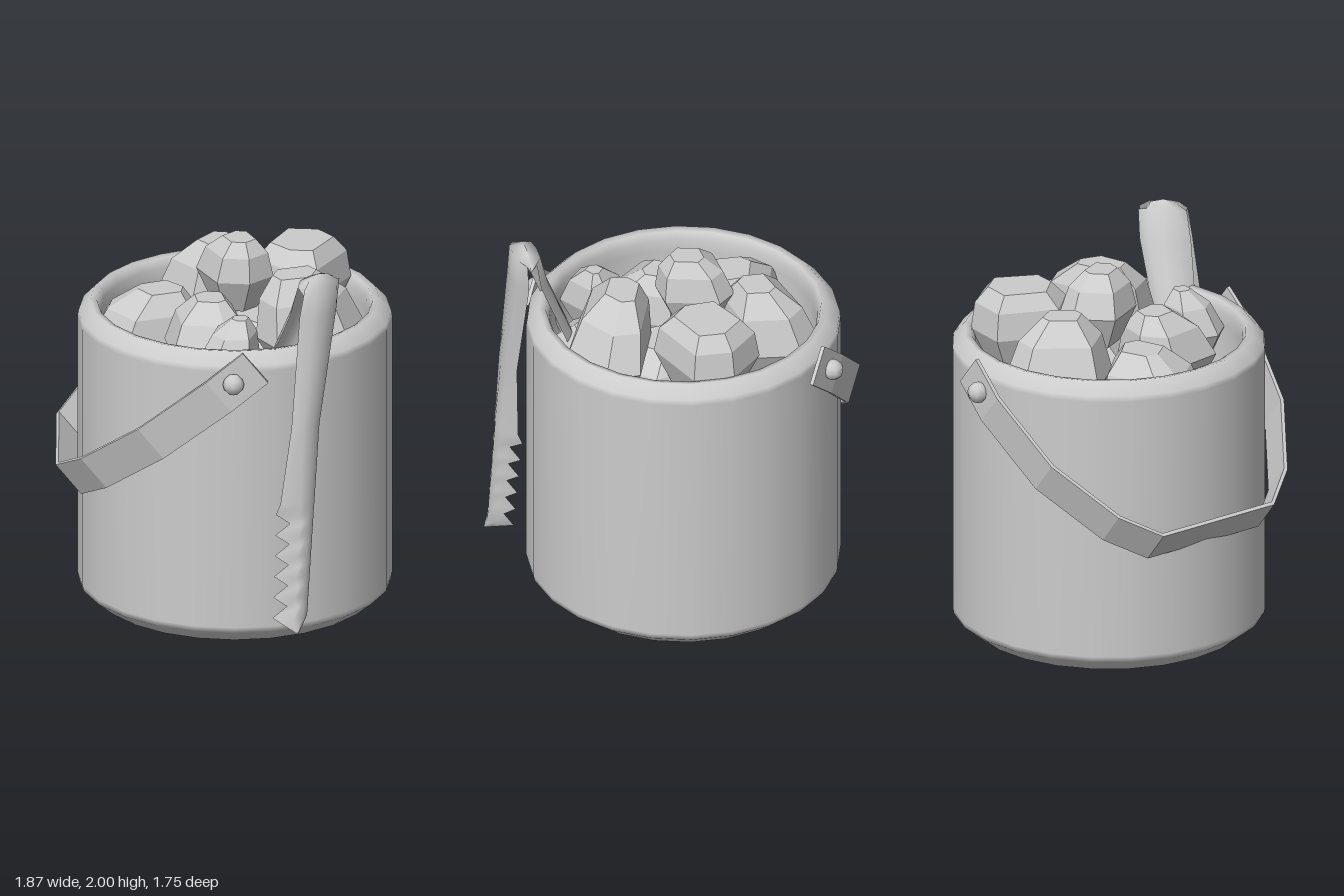
import * as THREE from 'three';

const smooth = new THREE.MeshStandardMaterial({ color: 0xcccccc });
const flat = new THREE.MeshStandardMaterial({ color: 0xcccccc, flatShading: true });
const thin = new THREE.MeshStandardMaterial({ color: 0xcccccc, side: THREE.DoubleSide });
const strip = new THREE.MeshStandardMaterial({ color: 0xcccccc, flatShading: true, side: THREE.DoubleSide });

function add(parent, name, geometry, material) {
  const mesh = new THREE.Mesh(geometry, material);
  mesh.name = name;
  parent.add(mesh);
  return mesh;
}

function lathe(points, sides = 24) {
  return new THREE.LatheGeometry(points.map(([r, y]) => new THREE.Vector2(r, y)), sides);
}

// Skins a row of equal-sized cross-sections; closed sections also get end caps
function loft(sections, closed) {
  const n = sections[0].length;
  const index = [];
  for (let i = 0; i < sections.length - 1; i++) {
    for (let j = 0; j < (closed ? n : n - 1); j++) {
      const a = i * n + j, b = i * n + (j + 1) % n;
      index.push(a, b, a + n, b, b + n, a + n);
    }
  }
  if (closed) {
    const e = (sections.length - 1) * n;
    for (let j = 1; j < n - 1; j++) index.push(0, j + 1, j, e, e + j, e + j + 1);
  }
  const geometry = new THREE.BufferGeometry();
  geometry.setAttribute('position', new THREE.Float32BufferAttribute(sections.flat(2), 3));
  geometry.setIndex(index);
  geometry.computeVertexNormals();
  return geometry;
}

function buildBucket() {
  const bucket = new THREE.Group();
  bucket.name = 'bucket';
  // Outer wall, chamfered lip and inner wall in one profile
  add(bucket, 'bucketWall', lathe([
    [0.715, 0], [0.8, 0.07], [0.805, 0.1], [0.805, 1.5], [0.8, 1.53],
    [0.74, 1.592], [0.705, 1.585], [0.688, 1.54], [0.685, 1.48],
    [0.685, 1.15], [0.6, 0.98], [0.4, 0.9], [0, 0.87],
  ]), smooth);
  // Recessed underside with a hollow in the middle
  add(bucket, 'baseRim', lathe([[0.69, 0.08], [0.715, 0]]), smooth);
  add(bucket, 'baseRing', lathe([[0.43, 0.03], [0.69, 0.08]]), smooth);
  add(bucket, 'baseHollow', lathe([[0, 0.16], [0.22, 0.14], [0.36, 0.09], [0.43, 0.03]]), smooth);
  bucket.position.set(0.007, 0, -0.07);
  return bucket;
}

// Bent strip lying in a tilted plane; u runs along the pivot axis, w away from it
function buildHandle() {
  const handle = new THREE.Group();
  handle.name = 'handle';
  const half = [[0.827, -0.113], [0.836, 0.075], [0.757, 0.423], [0.55, 0.715], [0.36, 0.845]];
  const path = [...half, ...half.map(([u, w]) => [-u, w]).reverse()];
  const height = (w) => 1.53 - 0.825 * (w + 0.113);
  const thickness = 0.02;

  const sections = path.map(([u, w], i) => {
    const p = path[Math.max(i - 1, 0)], q = path[Math.min(i + 1, path.length - 1)];
    const du = q[0] - p[0], dw = (q[1] - p[1]) * 1.3;
    const len = Math.hypot(du, dw);
    // inward normal within the plane of the strip
    const iu = -dw / len * thickness, iw = du / len * thickness / 1.3;
    const corner = (inset, side) => {
      const cw = w + iw * inset;
      return [u + iu * inset, height(cw) + side * 0.08, cw + side * 0.065];
    };
    return [corner(0, 1), corner(0, -1), corner(1, -1), corner(1, 1)];
  });
  add(handle, 'handleStrip', loft(sections, true), strip);

  // Pivot rivets
  for (const side of [1, -1]) {
    const rivet = add(handle, 'handleRivet', new THREE.SphereGeometry(0.055, 8, 6), smooth);
    rivet.position.set(side * 0.85, 1.45, 0);
  }
  handle.rotation.y = -Math.PI / 4;
  handle.position.set(0, 0, -0.07);
  return handle;
}

// Two gutter-shaped arms joined at the top, with saw teeth along both edges
function buildTongs() {
  const tongs = new THREE.Group();
  tongs.name = 'tongs';
  // height, distance from the middle, depth of gutter, both edges in z, drop of the edges
  const stations = [
    [2.0, 0, 0, 0.22, 0.01, 0.1],
    [1.97, 0.065, 0.04, 0.24, -0.01, 0.02],
    [1.8, 0.073, 0.06, 0.265, 0.0, 0],
    [1.22, 0.088, 0.058, 0.34, 0.15, 0],
    [0.82, 0.105, 0.085, 0.41, 0.162, 0],
  ];
  const teeth = 6;
  for (let i = 0; i < teeth; i++) {
    const y = 0.76 - i * 0.11, t = i / (teeth - 1);
    stations.push([y, 0.107 + 0.017 * t, 0.11, 0.42 + 0.04 * t, 0.16 + 0.09 * t, 0]);
    if (i < teeth - 1) {
      stations.push([y - 0.05, 0.109 + 0.017 * t, 0.065, 0.365 + 0.045 * t, 0.225 + 0.07 * t, 0]);
    }
  }
  stations.push([0.14, 0.13, 0.01, 0.4, 0.38, 0]);

  const arm = (name, place, rows) => add(tongs, name, loft(rows.map(([y, d, c, l, r, drop]) => {
    // the back of the gutter keeps a steady width behind the teeth
    const mid = (l + r) / 2, w = Math.min((l - r) * 0.3, y > 1 ? 0.08 : 0.05);
    return [[1, l], [0.15, mid + w], [0, mid], [0.15, mid - w], [1, r]].map(([k, z]) => {
      const py = y - drop * k;
      return [place(d - c * k, py), py, z];
    });
  }), false), thin);
  arm('outerArm', (d) => 0.8 + d, stations);
  // Inner arm leans into the bucket and is buried in the ice
  arm('innerArm', (d, y) => 0.8 - d - 0.38 * Math.max(0, 1.9 - y), stations.slice(0, 5));
  return tongs;
}

function buildIce() {
  const ice = new THREE.Group();
  ice.name = 'ice';
  // waist: x, z, half sizes, height; top: x, z, height, share of the waist; turn
  const chunks = [
    [0.03, -0.52, 0.26, 0.25, 1.58, 0.03, -0.53, 1.8, 0.66, 0.3],
    [-0.04, -0.12, 0.2, 0.19, 1.72, 0.0, -0.11, 1.92, 0.45, 0.1],
    [0.44, -0.19, 0.235, 0.3, 1.5, 0.36, -0.15, 1.81, 0.42, 0.5],
    [-0.38, -0.28, 0.26, 0.275, 1.48, -0.32, -0.27, 1.78, 0.38, 0.2],
    [-0.37, 0.21, 0.28, 0.275, 1.34, -0.32, 0.14, 1.62, 0.42, 0.6],
    [0.1, 0.22, 0.235, 0.24, 1.44, 0.06, 0.16, 1.68, 0.38, 0.0],
    [0.36, 0.32, 0.17, 0.155, 1.47, 0.38, 0.26, 1.68, 0.28, 0.4],
    [-0.02, 0.26, 0.28, 0.24, 1.22, 0.0, 0.24, 1.42, 0.5, 0.2],
    [0.1, -0.22, 0.34, 0.3, 1.25, 0.1, -0.2, 1.5, 0.5, 0.7],
    [0.4, 0.15, 0.25, 0.25, 1.2, 0.4, 0.12, 1.42, 0.5, 0.1],
  ];
  const sides = 6;
  for (const [x, z, rx, rz, y, tx, tz, ty, share, turn] of chunks) {
    // k runs from the waist (0) to the top (1)
    const ring = (k, scale, height) => Array.from({ length: sides }, (_, j) => {
      const a = turn + j / sides * Math.PI * 2 + 0.25 * Math.sin(j * 2.3 + turn * 9);
      return [x + (tx - x) * k + Math.sin(a) * rx * scale, height, z + (tz - z) * k + Math.cos(a) * rz * scale];
    });
    add(ice, 'iceChunk', loft([
      ring(0, 0.6, y - rx * 0.9),
      ring(0, 1.05, y),
      ring(0.5, (1 + share) / 2 + 0.12, y + (ty - y) * 0.64),
      ring(1, share, ty),
    ], true), flat);
  }
  return ice;
}

export function createModel() {
  const model = new THREE.Group();
  model.name = 'iceBucket';
  model.add(buildBucket(), buildHandle(), buildTongs(), buildIce());
  return model;
}
